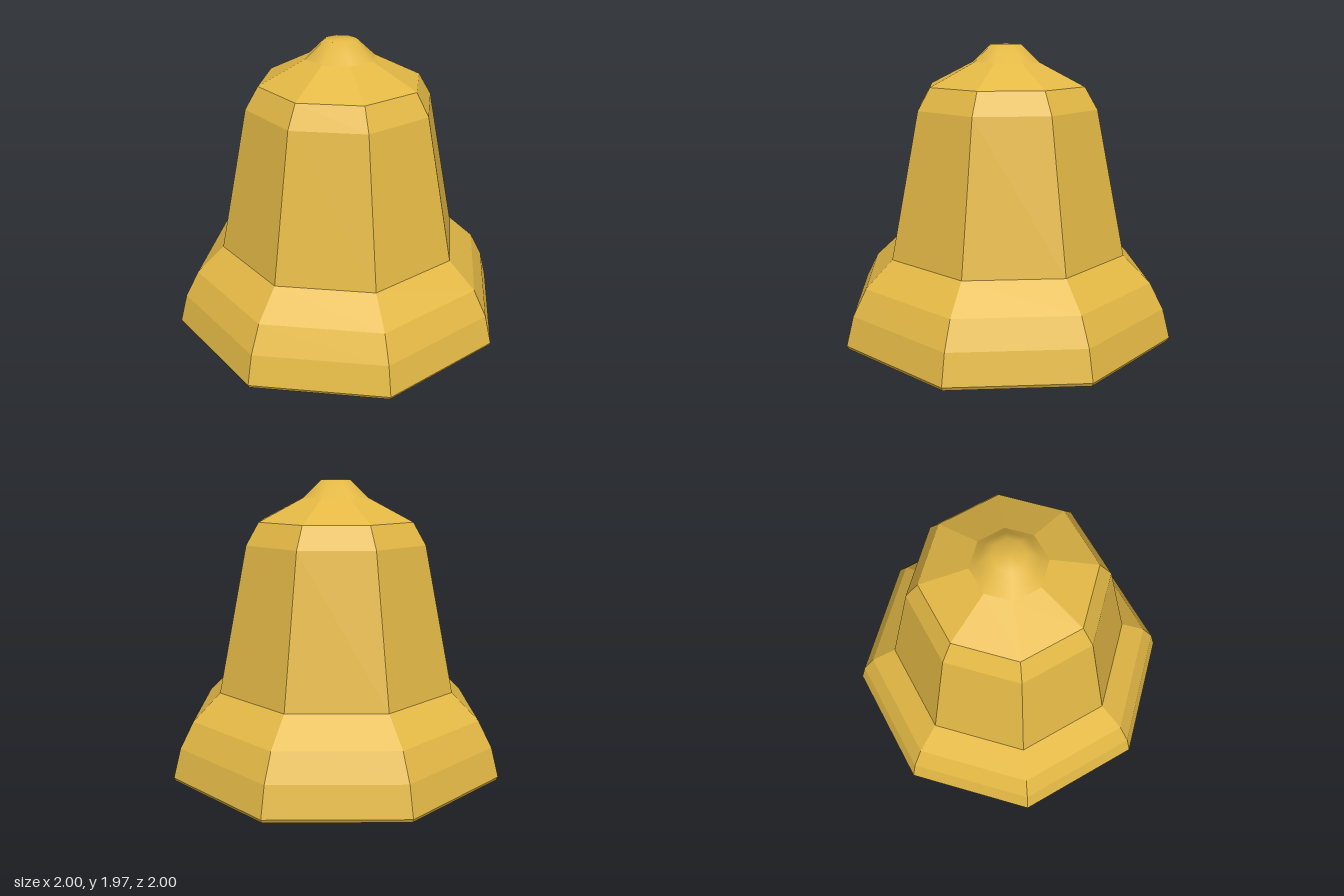
import * as THREE from 'three';

const SIDES = 8;

export function createModel() {
  const group = new THREE.Group();
  const flat = new THREE.MeshStandardMaterial({ color: 0xe3b845, flatShading: true });
  const smooth = new THREE.MeshStandardMaterial({ color: 0xe3b845 });

  // Octagonal turned part, corners on the x and z axes
  const turn = (name, profile, material) => {
    const points = profile.map(([r, y]) => new THREE.Vector2(r, y));
    const mesh = new THREE.Mesh(new THREE.LatheGeometry(points, SIDES), material);
    mesh.name = name;
    group.add(mesh);
  };

  // Hollow shell: down the inside, around the rim, up the outside
  turn('bellShell', [
    [0, 1.85], [0.19, 1.83], [0.44, 1.71], [0.505, 1.61], [0.68, 0.77],
    [0.84, 0.62], [0.92, 0.48], [0.96, 0.32], [0.955, 0.30],
    [0.99, 0.30], [1, 0.32], [0.955, 0.49], [0.875, 0.64], [0.715, 0.79],
    [0.54, 1.62], [0.465, 1.745], [0.2, 1.875],
  ], flat);

  // Softly rounded top
  turn('crown', [[0.2, 1.875], [0.155, 1.915], [0.09, 1.975], [0, 1.978]], smooth);

  // Clapper hanging on its rod
  turn('clapperRod', [[0.032, 0.26], [0.032, 1.85]], flat);
  turn('clapperBall', [
    [0, 0.005], [0.145, 0.05], [0.18, 0.135], [0.14, 0.225], [0.035, 0.275], [0, 0.275],
  ], flat);

  return group;
}
